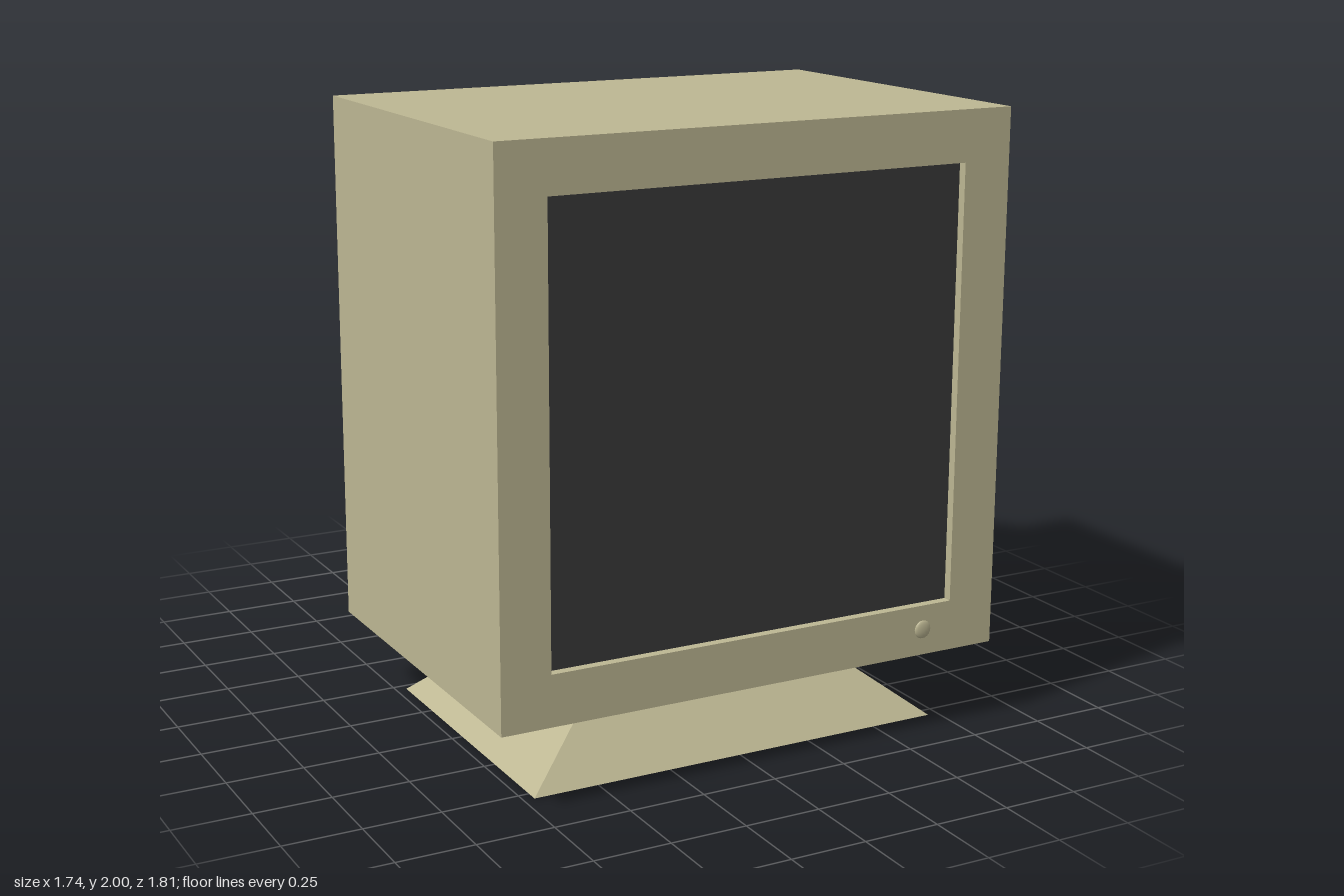
import * as THREE from 'three';

const casing = new THREE.MeshStandardMaterial({ color: 0xbdb793 });
casing.name = 'beige casing';
const glass = new THREE.MeshStandardMaterial({ color: 0x393939 });
glass.name = 'dark screen';

function add(group, name, geometry, material, x, y, z) {
  const mesh = new THREE.Mesh(geometry, material);
  mesh.name = name;
  mesh.position.set(x, y, z);
  group.add(mesh);
  return mesh;
}

// Box whose +z end has a different width and height from its -z end
function taperedBox(w0, h0, w1, h1, depth) {
  const geometry = new THREE.BoxGeometry(1, 1, depth);
  const p = geometry.attributes.position;
  for (let i = 0; i < p.count; i++) {
    const far = p.getZ(i) > 0;
    p.setX(i, p.getX(i) * (far ? w1 : w0));
    p.setY(i, p.getY(i) * (far ? h1 : h0));
  }
  geometry.computeVertexNormals();
  return geometry;
}

function rectangle(target, x0, y0, x1, y1) {
  target.moveTo(x0, y0);
  target.lineTo(x1, y0);
  target.lineTo(x1, y1);
  target.lineTo(x0, y1);
  target.closePath();
  return target;
}

export function createModel() {
  const monitor = new THREE.Group();
  monitor.name = 'monitor';
  const front = 0.897, back = -0.335, recess = 0.035;
  const bodyFront = front - recess;

  // Main housing, with a bezel standing proud of the screen
  add(monitor, 'housing', new THREE.BoxGeometry(1.74, 1.735, bodyFront - back), casing,
    0, 1.1325, (bodyFront + back) / 2);
  const outline = rectangle(new THREE.Shape(), -0.87, 0.265, 0.87, 2);
  outline.holes.push(rectangle(new THREE.Path(), -0.707, 0.43, 0.707, 1.837));
  add(monitor, 'bezel', new THREE.ExtrudeGeometry(outline, { depth: recess, bevelEnabled: false }),
    casing, 0, 0, bodyFront);
  add(monitor, 'screen', new THREE.BoxGeometry(1.414, 1.407, 0.006), glass,
    0, 1.1335, bodyFront + 0.003);

  // Tube cover narrowing to the rear
  add(monitor, 'rearCover', taperedBox(1.08, 1.08, 1.49, 1.495, 0.57), casing, 0, 1.134, -0.62);

  // Shallow domed power button
  const button = add(monitor, 'powerButton', new THREE.SphereGeometry(0.03, 16, 10), casing,
    0.605, 0.35, front);
  button.scale.z = 0.28;

  // Stand: straight neck on a flared foot
  add(monitor, 'neck', new THREE.BoxGeometry(0.97, 0.09, 0.69), casing, 0, 0.22, 0.285);
  const foot = add(monitor, 'foot', taperedBox(1.43, 1.01, 0.97, 0.69, 0.177), casing,
    0, 0.0885, 0.285);
  foot.rotation.x = -Math.PI / 2;

  return monitor;
}
